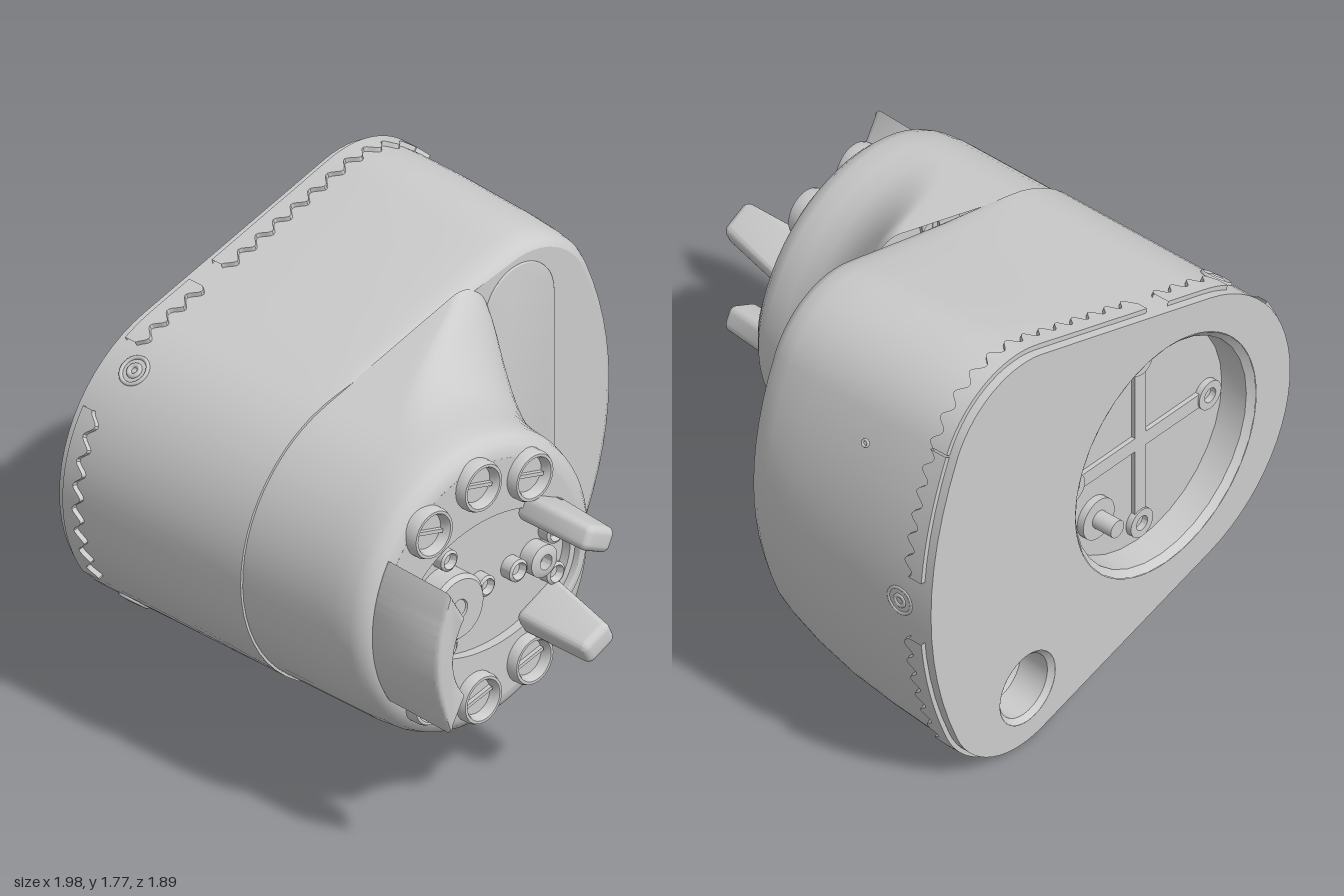
import * as THREE from 'three';
import { toCreasedNormals } from 'three/addons/utils/BufferGeometryUtils.js';
import { RoundedBoxGeometry } from 'three/addons/geometries/RoundedBoxGeometry.js';

const grey = new THREE.MeshStandardMaterial({ color: 0xcccccc, side: THREE.DoubleSide });
const RAD = Math.PI / 180;
const LX = -0.37, CY = 0.9; // axis of the round end and nose

// Closed outline around three circles: round end, upper corner, lower corner ([x, y, r])
function outline(z, r1, top, bot, alphaDeg) {
  const pts = [], al = alphaDeg * RAD;
  const arc = (x, y, r, a, b, n) => {
    for (let i = 0; i <= n; i++) {
      const t = a + (b - a) * i / n;
      pts.push(new THREE.Vector3(x + r * Math.cos(t), y + r * Math.sin(t), z));
    }
  };
  const tangent = ([x, y, r], s) => {
    const dx = x - LX, dy = y - CY;
    return Math.atan2(dy, dx) + s * Math.acos((r1 - r) / Math.hypot(dx, dy));
  };
  const line = (to) => {
    const a = pts[pts.length - 1].clone();
    for (let i = 1; i < 5; i++) pts.push(a.clone().lerp(to, i / 5));
  };
  const on = (x, y, r, a) => new THREE.Vector3(x + r * Math.cos(a), y + r * Math.sin(a), z);
  const ta = tangent(top, 1), ba = tangent(bot, -1) + 2 * Math.PI;
  arc(...top, al, ta, 14);
  line(on(LX, CY, r1, ta));
  arc(LX, CY, r1, ta, ba, 26);
  line(on(...bot, ba));
  arc(...bot, ba, 2 * Math.PI - al, 14);
  // gently bulged right side
  const p = pts[pts.length - 1], q = pts[0];
  const h1 = q.x * Math.cos(al) + q.y * Math.sin(al), h2 = p.x * Math.cos(al) - p.y * Math.sin(al);
  const c = new THREE.Vector3((h1 + h2) / (2 * Math.cos(al)), (h1 - h2) / (2 * Math.sin(al)), z);
  const side = new THREE.QuadraticBezierCurve3(p, c, q);
  for (let i = 1; i < 12; i++) pts.push(side.getPoint(i / 12));
  return pts;
}

function loft(rings, crease = 0.7) {
  const n = rings[0].length, idx = [];
  for (let i = 0; i < rings.length - 1; i++) for (let j = 0; j < n; j++) {
    const a = i * n + j, b = i * n + (j + 1) % n;
    idx.push(a, b, b + n, a, b + n, a + n);
  }
  const g = new THREE.BufferGeometry().setFromPoints(rings.flat());
  g.setIndex(idx);
  return toCreasedNormals(g, crease);
}

const circlePath = (x, y, r, ry = r) => new THREE.Path().absellipse(x, y, r, ry, 0, 2 * Math.PI);

export function createModel() {
  const model = new THREE.Group();
  const add = (name, geo, x = 0, y = 0, z = 0) => {
    const m = new THREE.Mesh(geo, grey);
    m.name = name;
    m.position.set(x, y, z);
    model.add(m);
    return m;
  };
  const rod = (name, x, y, z0, z1, r0, r1 = r0, open = false) =>
    add(name, new THREE.CylinderGeometry(r1, r0, z1 - z0, 32, 1, open).rotateX(Math.PI / 2), x, y, (z0 + z1) / 2);
  const turned = (name, profile, x, y) =>
    add(name, toCreasedNormals(new THREE.LatheGeometry(profile.map(p => new THREE.Vector2(...p)), 32).rotateX(Math.PI / 2), 0.6), x, y);
  const slab = (name, shape, z, depth, bevel = 0) =>
    add(name, toCreasedNormals(new THREE.ExtrudeGeometry(shape, {
      depth: depth - 2 * bevel, curveSegments: 32, bevelEnabled: bevel > 0,
      bevelSize: bevel, bevelOffset: -bevel, bevelThickness: bevel, bevelSegments: 3 }), 0.6), 0, 0, z + bevel);

  // main housing: [z, inset, lowest y]
  const bodyRing = ([z, inset, low]) => {
    const r = 0.4 - inset;
    return outline(z, 0.605, [0.48, 1.385, r], [0.48, low + r, r], 24);
  };
  const rings = [[-0.95, 0.015, 0.03], [-0.8, 0.01, 0.04], [-0.6, 0.012, 0.065], [-0.4, 0.02, 0.1],
    [-0.25, 0.025, 0.15], [-0.12, 0.035, 0.21], [-0.06, 0.045, 0.245], [-0.03, 0.06, 0.275], [-0.015, 0.085, 0.305]].map(bodyRing);
  add('housing', loft(rings));
  add('housingFront', new THREE.ShapeGeometry(new THREE.Shape(rings[rings.length - 1])), 0, 0, -0.015);

  // nose blending from the housing into a round barrel
  const noseRings = [[-0.02, 0], [0.02, 0.1], [0.05, 0.2], [0.1, 0.38], [0.15, 0.54], [0.2, 0.68], [0.25, 0.79], [0.3, 0.88],
    [0.36, 0.95], [0.45, 0.999]].map(([z, t]) => {
    const mix = (y) => [0.14 + (LX - 0.14) * t, y + (CY - y) * t, 0.14 + 0.455 * t];
    return outline(z, 0.595, mix(1.53), mix(0.44), 5 + 19 * t);
  });
  for (const [z, r] of [[0.53, 0.588], [0.57, 0.575], [0.595, 0.55], [0.607, 0.525], [0.61, 0.5]])
    noseRings.push(noseRings[9].map(p => new THREE.Vector3(LX + (p.x - LX) * r / 0.595, CY + (p.y - CY) * r / 0.595, z)));
  add('nose', loft(noseRings));
  const face = new THREE.Shape().absellipse(LX, CY, 0.503, 0.503, 0, 2 * Math.PI);
  face.holes.push(circlePath(-0.33, CY, 0.41, 0.27));
  slab('nosePlate', face, 0.57, 0.04);
  add('noseFloor', new THREE.CircleGeometry(0.52, 48), LX, CY, 0.572);

  // front panel
  const panel = new THREE.Shape();
  panel.absarc(0.435, 1.495, 0.175, 0, Math.PI);
  panel.absarc(0.435, 0.525, 0.175, Math.PI, 2 * Math.PI);
  slab('frontPanel', panel, -0.03, 0.022, 0.004);

  // wavy grip strips around the back rim
  const rim = new THREE.CatmullRomCurve3(bodyRing([-0.87, 0.012, 0.035]), true).getSpacedPoints(640).slice(0, 640);
  const deg = (p) => (Math.atan2(p.y - CY, p.x) / RAD + 360) % 360;
  for (const [from, to] of [[8, 109], [118, 142], [159, 201], [218, 242], [251, 293], [301.5, 352]]) {
    const sections = [];
    rim.forEach((p, i) => {
      if (deg(p) < from || deg(p) > to) return;
      const t = rim[(i + 1) % 640].clone().sub(rim[(i + 639) % 640]).normalize();
      const front = -0.847 + 0.02 * Math.sin(i * 0.62);
      sections.push([[-0.02, -0.915], [0.018, -0.915], [0.018, front], [-0.02, front + 0.005]]
        .map(([o, z]) => new THREE.Vector3(p.x + t.y * o, p.y - t.x * o, z)));
    });
    // strips are ordered counter-clockwise with the section running outwards
    add('gripStrip', loft(sections, 0.5));
  }

  // side screws and pin hole
  const sidePart = (name, geo, x, y, z, a) =>
    add(name, geo, x, y, z).lookAt(x + Math.cos(a), y + Math.sin(a), z);
  for (const [x, y, a] of [[0.972, 0.9, 0], [-0.742, 1.377, 128 * RAD], [-0.742, 0.423, -128 * RAD]]) {
    sidePart('screwSeat', new THREE.TorusGeometry(0.055, 0.008, 8, 28), x, y, -0.8, a);
    sidePart('sideScrew', new THREE.TorusGeometry(0.022, 0.01, 8, 20), x, y, -0.8, a);
  }
  sidePart('pinHole', new THREE.TorusGeometry(0.013, 0.006, 6, 16), 0.905, 1.46, -0.57, 20 * RAD);

  // back plate with round recess and socket
  const back = new THREE.Shape(rings[0]);
  back.holes.push(circlePath(-0.3, CY, 0.49), circlePath(0.45, 0.27, 0.15));
  add('backPlate', new THREE.ShapeGeometry(back, 48), 0, 0, -0.95);
  turned('recess', [[0.49, -0.95], [0.465, -0.925], [0.46, -0.81], [0, -0.81]], -0.3, CY);
  turned('socket', [[0.15, -0.95], [0.13, -0.93], [0.13, -0.8], [0, -0.7]], 0.45, 0.27);
  for (let k = 0; k < 4; k++) {
    const a = k * Math.PI / 2, c = Math.cos(a), s = Math.sin(a);
    turned('recessBoss', [[0.06, -0.81], [0.06, -0.835], [0.03, -0.835], [0.03, -0.81]], -0.3 + 0.37 * c, CY + 0.37 * s);
    add('recessRib', new THREE.BoxGeometry(0.32, 0.06, 0.02), -0.3 + 0.16 * c, CY + 0.16 * s, -0.818).rotation.z = a;
  }
  rod('postCollar', -0.06, 0.69, -0.84, -0.81, 0.085);
  rod('post', -0.06, 0.69, -0.93, -0.81, 0.036);

  // six lens cups on the nose
  for (const [x, y] of [[-0.65, 0.345], [-0.4, 0.44], [-0.14, 0.38]]) for (const s of [1, -1]) {
    turned('lensCup', [[0.1, 0.59], [0.1, 0.635], [0.093, 0.653], [0.082, 0.653], [0.075, 0.64], [0.07, 0.613], [0, 0.613]], x, CY + s * y);
    add('lensBar', new THREE.BoxGeometry(0.135, 0.014, 0.02), x, CY + s * y, 0.62).rotation.z = -0.25 * s;
  }

  // knob, screws and small valve
  turned('knob', [[0.135, 0.56], [0.135, 0.655], [0.12, 0.672], [0.04, 0.672], [0.036, 0.665], [0, 0.665]], -0.54, CY);
  for (const [x, y, r] of [[-0.54, 1.08, 0.042], [-0.54, 0.72, 0.042], [-0.72, 0.9, 0.045], [-0.35, 0.9, 0.042],
    [-0.19, 0.9, 0.045], [0, 0.985, 0.045], [0, 0.815, 0.045]])
    turned('faceScrew', [[r, 0.56], [r, 0.618], [r * 0.75, 0.625], [r * 0.5, 0.6], [0, 0.6]], x, y);
  turned('valve', [[0.065, 0.56], [0.065, 0.635], [0.045, 0.645], [0.03, 0.645], [0.03, 0.6], [0, 0.6]], -0.075, CY);

  // broad curved prong on the right-hand edge
  const scoop = new THREE.Shape();
  scoop.absarc(LX, CY, 0.545, 148 * RAD, 212 * RAD);
  scoop.lineTo(-0.72, 0.74);
  scoop.quadraticCurveTo(-0.89, 0.9, -0.72, 1.06);
  scoop.closePath();
  const prong = slab('curvedProng', scoop, 0.59, 0.35, 0.02);
  const pp = prong.geometry.attributes.position;
  for (let i = 0; i < pp.count; i++) { // inner edge leans outwards near the tip
    const k = Math.max(0, pp.getZ(i) - 0.1) / 0.25, x = pp.getX(i);
    pp.setX(i, x - 0.35 * k * Math.max(0, x + 0.88));
  }
  prong.geometry = toCreasedNormals(prong.geometry, 0.6);

  // pair of narrow prongs flaring towards their base
  for (const s of [1, -1]) {
    const g = new RoundedBoxGeometry(0.15, 0.1, 0.36, 4, 0.03);
    const p = g.attributes.position;
    for (let i = 0; i < p.count; i++) {
      const k = Math.max(0, 0.02 - p.getZ(i)) / 0.2;
      if (p.getX(i) > 0) p.setX(i, p.getX(i) + 0.09 * k * k);
    }
    g.computeVertexNormals();
    add('narrowProng', toCreasedNormals(g, 0.7), -0.09, CY + s * 0.215, 0.76).rotation.z = -0.45 * s;
  }
  // low curved wall joining the narrow prongs
  const wall = new THREE.Shape();
  wall.absarc(-0.13, CY, 0.265, -58 * RAD, 58 * RAD);
  wall.absarc(-0.13, CY, 0.235, 58 * RAD, -58 * RAD, true);
  slab('prongWall', wall, 0.57, 0.07, 0.006);

  return model;
}
